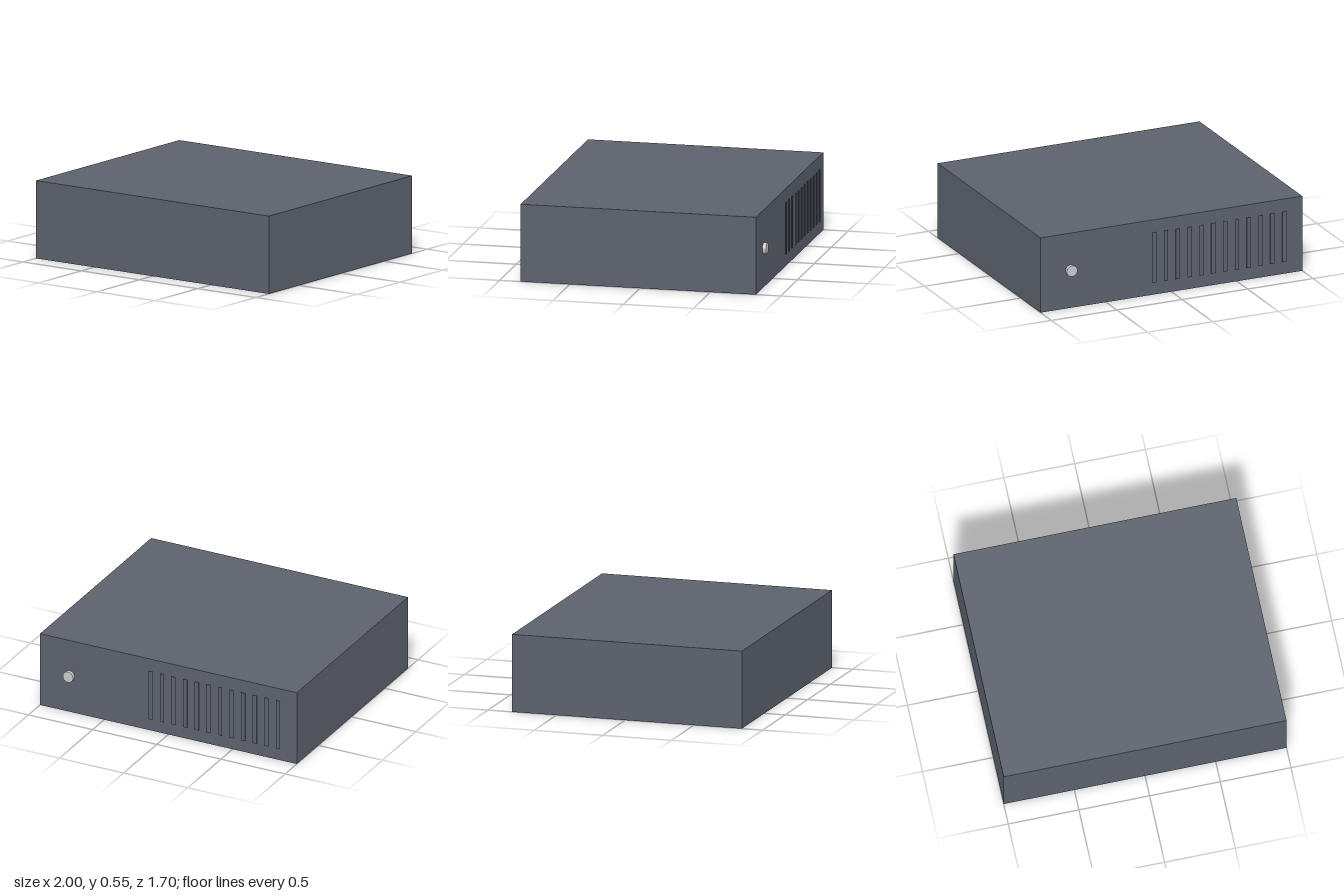
import * as THREE from 'three';

export function createModel() {
  const group = new THREE.Group();
  const casing = new THREE.MeshStandardMaterial({ color: 0x5c616d });
  const metal = new THREE.MeshStandardMaterial({ color: 0xcccccc });

  const add = (name, geometry, material, x, y, z, parent = group) => {
    const mesh = new THREE.Mesh(geometry, material);
    mesh.name = name;
    mesh.position.set(x, y, z);
    parent.add(mesh);
    return mesh;
  };

  // Plain rectangular housing
  const height = 0.55, front = 0.85, back = -0.825;
  add('housing', new THREE.BoxGeometry(2, height, front - back), casing,
    0, height / 2, (front + back) / 2);

  // Row of thin upright vent strips just proud of the back
  const vents = new THREE.Group();
  vents.name = 'ventStrips';
  group.add(vents);
  const strip = new THREE.BoxGeometry(0.032, 0.37, 0.003);
  const count = 12, firstX = -0.858, lastX = 0.136;
  for (let i = 0; i < count; i++) {
    const x = firstX + (lastX - firstX) * i / (count - 1);
    add('ventStrip', strip, casing, x, height / 2, back - 0.009, vents);
  }

  // Round socket on the back, with its axis along z
  const socket = new THREE.CylinderGeometry(0.04, 0.04, 0.03, 24).rotateX(Math.PI / 2);
  add('powerSocket', socket, metal, 0.77, 0.277, -0.835);

  return group;
}
